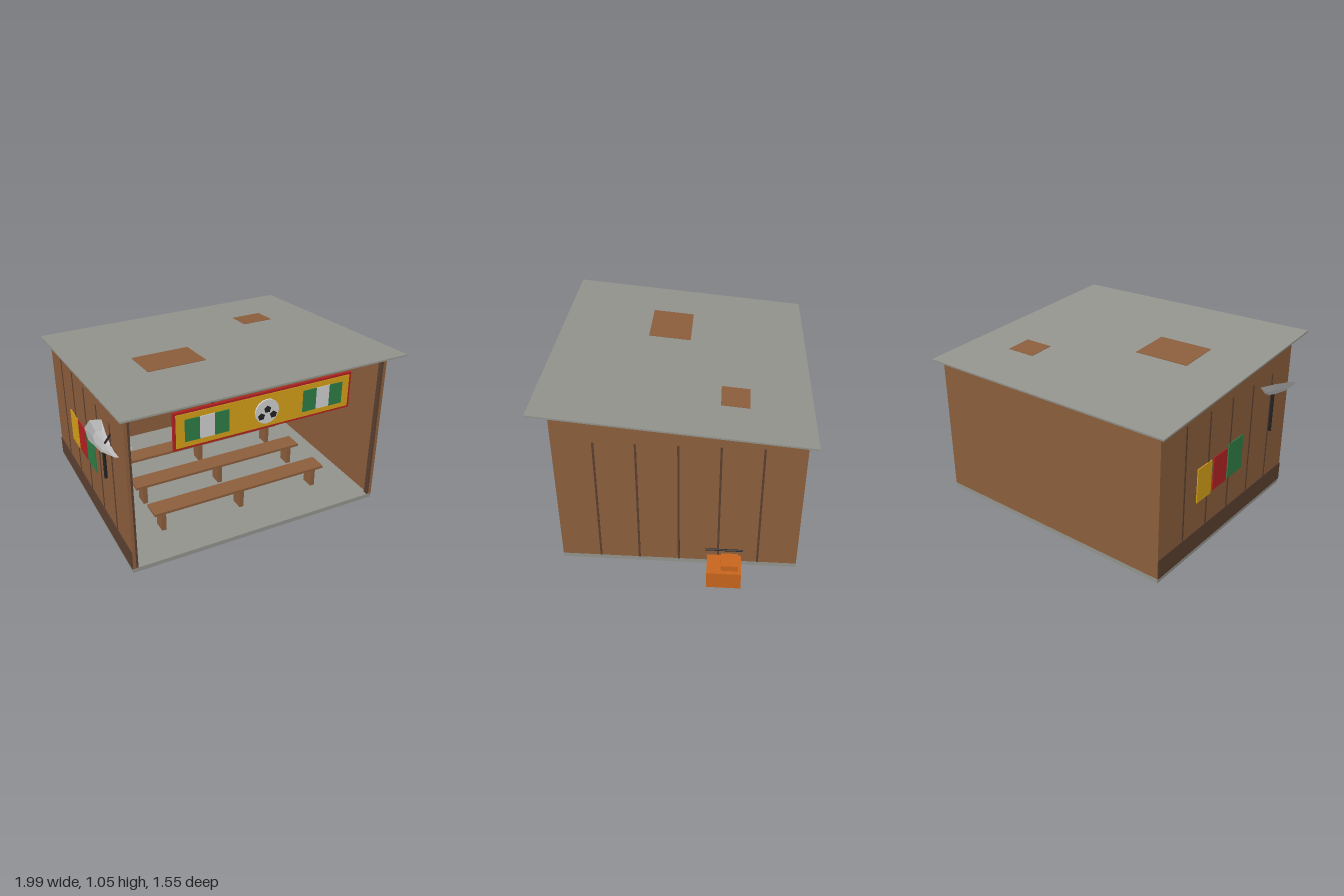
import * as THREE from 'three';

const mat = (name, color, extra = {}) =>
  Object.assign(new THREE.MeshStandardMaterial({ color, ...extra }), { name });

export function createModel() {
  const wood = mat('wood', 0x8b5e3c);
  const darkWood = mat('dark wood', 0x5a4030);
  const grey = mat('grey sheet', 0x93938d);
  const yellow = mat('yellow', 0xd4a017);
  const red = mat('red', 0xb22222);
  const green = mat('green', 0x2e7d46);
  const white = mat('white', 0xd0d0d0, { side: THREE.DoubleSide, flatShading: true });
  const black = mat('black', 0x222222);
  const screenBlue = mat('screen blue', 0x263c4a);
  const orange = mat('orange', 0xc8651e);

  const model = new THREE.Group();
  model.name = 'viewingShed';

  const group = (name, parent = model) => {
    const g = new THREE.Group();
    g.name = name;
    parent.add(g);
    return g;
  };
  const add = (name, geometry, material, parent = model) => {
    const m = new THREE.Mesh(geometry, material);
    m.name = name;
    parent.add(m);
    return m;
  };
  // Box given by its limits on each axis
  const box = (name, material, [x0, x1], [y0, y1], [z0, z1], parent = model) => {
    const m = add(name, new THREE.BoxGeometry(x1 - x0, y1 - y0, z1 - z0), material, parent);
    m.position.set((x0 + x1) / 2, (y0 + y1) / 2, (z0 + z1) / 2);
    return m;
  };
  // Thin rod between two points
  const rod = (name, material, a, b, r, parent = model) => {
    const from = new THREE.Vector3(...a), dir = new THREE.Vector3(...b).sub(from);
    const m = add(name, new THREE.CylinderGeometry(r, r, dir.length(), 8), material, parent);
    m.position.copy(from).addScaledVector(dir, 0.5);
    m.quaternion.setFromUnitVectors(new THREE.Vector3(0, 1, 0), dir.normalize());
    return m;
  };

  const L = -0.86, R = 0.79, F = 0.665, B = -0.725, MID = (L + R) / 2, FLOOR = 0.028;

  // Floor and walls
  box('floorSlab', grey, [L, R], [0, FLOOR], [B, F]);
  box('backWall', wood, [L, R], [FLOOR, 0.892], [B, B + 0.02]);
  const side = new THREE.Shape([
    new THREE.Vector2(B, FLOOR), new THREE.Vector2(F, FLOOR),
    new THREE.Vector2(F, 1.022), new THREE.Vector2(B, 0.893),
  ]);
  for (const [name, outer] of [['rightWall', L + 0.02], ['leftWall', R]]) {
    const g = new THREE.ExtrudeGeometry(side, { depth: 0.02, bevelEnabled: false });
    g.rotateY(-Math.PI / 2).translate(outer, 0, 0);
    add(name, g, wood);
  }
  // Wall seams on both sides
  for (const z of [0.435, 0.204, -0.03, -0.262, -0.495]) {
    for (const x of [L, R]) {
      box('wallSeam', darkWood, [x - 0.003, x + 0.003], [FLOOR, 0.86], [z - 0.006, z + 0.006]);
    }
  }
  // Front posts and header beam
  box('frontPost', darkWood, [L + 0.018, L + 0.033], [FLOOR, 0.99], [F - 0.03, F - 0.001]);
  box('frontPost', darkWood, [R - 0.033, R - 0.018], [FLOOR, 0.99], [F - 0.03, F - 0.001]);
  box('headerBeam', wood, [L, R], [0.99, 1.026], [F - 0.032, F + 0.001]);

  // Sloping roof with patches
  const roof = group('roof');
  roof.position.set(-0.035, 0.977, 0);
  roof.rotation.x = -0.0934;
  box('roofSheet', grey, [-0.875, 0.875], [-0.005, 0.005], [-0.778, 0.778], roof);
  box('roofPatch', wood, [-0.512, -0.148], [0.005, 0.008], [-0.04, 0.226], roof);
  box('roofPatch', wood, [0.365, 0.565], [0.005, 0.008], [-0.415, -0.25], roof);

  // Skirting band and posters on the right-hand wall
  box('skirtingBand', darkWood, [L - 0.005, L], [FLOOR, 0.15], [B, F]);
  box('yellowPoster', yellow, [L - 0.006, L], [0.335, 0.55], [-0.37, -0.225]);
  box('redPoster', red, [L - 0.006, L], [0.345, 0.555], [-0.205, -0.06]);
  box('greenPoster', green, [L - 0.006, L], [0.352, 0.575], [-0.045, 0.115]);

  // Sign board
  const sign = group('sign');
  box('signFrame', red, [-0.595, 0.525], [0.744, 0.973], [F, 0.68], sign);
  box('signPanel', yellow, [-0.58, 0.51], [0.758, 0.959], [0.68, 0.684], sign);
  for (const x0 of [-0.53, 0.2]) {
    [green, white, green].forEach((m, i) =>
      box('flagStripe', m, [x0 + i * 0.0875, x0 + (i + 1) * 0.0875], [0.79, 0.925], [0.684, 0.688], sign));
  }
  // Football emblem
  const disc = (name, r, sides, depth, material, x, y, z) => {
    const g = new THREE.CylinderGeometry(r, r, depth, sides).rotateX(Math.PI / 2);
    const m = add(name, g, material, sign);
    m.position.set(x, y, z);
    m.rotation.z = Math.PI;
    return m;
  };
  disc('ball', 0.075, 16, 0.009, white, MID, 0.856, 0.6885);
  for (const [dx, dy] of [[0, 0.015], [-0.038, -0.024], [0.038, -0.024]]) {
    disc('ballPentagon', 0.022, 5, 0.005, black, MID + dx, 0.856 + dy, 0.6955);
  }

  // Television, shelf and cable on the back wall
  const wallZ = B + 0.02;
  box('televisionFrame', black, [-0.413, 0.342], [0.385, 0.82], [wallZ, wallZ + 0.035]);
  box('televisionScreen', screenBlue, [-0.393, 0.322], [0.402, 0.803], [wallZ + 0.035, wallZ + 0.039]);
  box('shelf', wood, [-0.135, 0.065], [0.275, 0.289], [wallZ, wallZ + 0.1]);
  box('decoder', black, [-0.12, 0], [0.289, 0.311], [wallZ + 0.015, wallZ + 0.085]);
  box('cable', black, [0.306, 0.318], [FLOOR, 0.295], [wallZ, wallZ + 0.012]);

  // Three rows of benches
  for (const z of [0.38, 0.077, -0.226]) {
    const bench = group('bench');
    box('benchSeat', wood, [-0.63, 0.555], [0.16, 0.176], [z - 0.06, z + 0.06], bench);
    for (const x of [-0.565, MID, 0.495]) {
      box('benchLeg', wood, [x - 0.015, x + 0.015], [FLOOR, 0.16], [z - 0.04, z + 0.04], bench);
    }
  }

  // Satellite dish on its pole
  const dish = group('satelliteDish');
  rod('dishPole', black, [-0.893, 0.5, 0.4], [-0.893, 0.74, 0.4], 0.01, dish);
  const profile = [[0.001, 0], [0.08, 0.013], [0.145, 0.042]].map((p) => new THREE.Vector2(...p));
  const bowl = add('dishBowl', new THREE.LatheGeometry(profile, 10), white, dish);
  bowl.position.set(-0.89, 0.735, 0.42);
  bowl.quaternion.setFromUnitVectors(
    new THREE.Vector3(0, 1, 0), new THREE.Vector3(0.47, 0.83, 0.3).normalize());
  rod('feedArm', black, [-0.89, 0.735, 0.42], [-0.828, 0.855, 0.46], 0.006, dish);

  // Generator beside the shed
  const generator = group('generator');
  box('generatorBody', orange, [0.85, 1], [0.02, 0.13], [-0.397, -0.2], generator);
  box('generatorTank', orange, [0.873, 0.975], [0.13, 0.166], [-0.378, -0.28], generator);
  rod('generatorHandle', black, [0.85, 0.169, -0.19], [0.85, 0.169, -0.405], 0.006, generator);

  return model;
}
